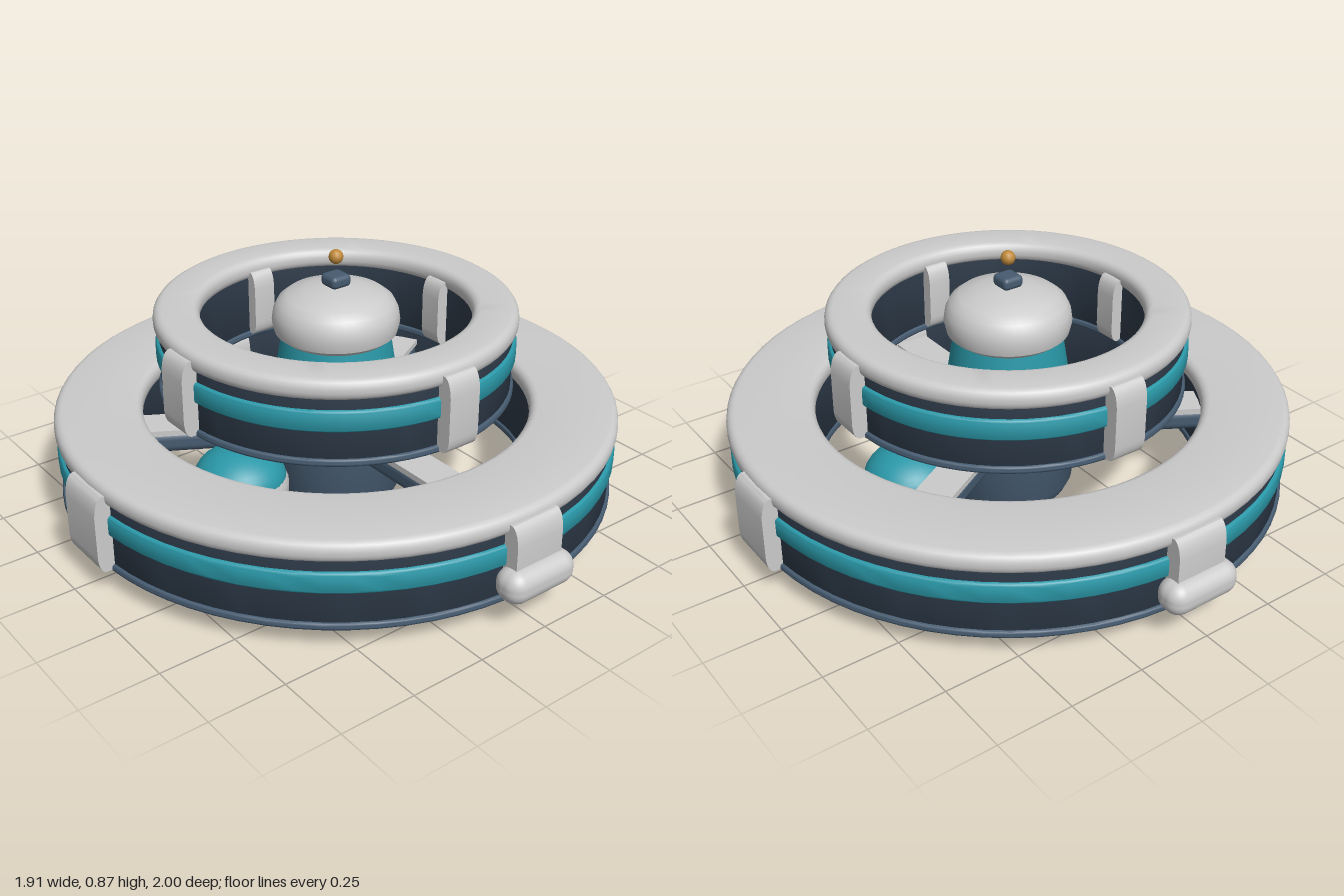
import * as THREE from 'three';
import { toCreasedNormals } from 'three/addons/utils/BufferGeometryUtils.js';
import { RoundedBoxGeometry } from 'three/addons/geometries/RoundedBoxGeometry.js';

const mat = (color) => new THREE.MeshStandardMaterial({ color });

export function createModel() {
  const grey = mat(0xcccccc), teal = mat(0x2a98a8), dark = mat(0x2f3c4b);
  const slate = mat(0x465b70), gold = mat(0xc08a3a);
  const model = new THREE.Group();

  function add(parent, name, geometry, material, x = 0, y = 0, z = 0) {
    const mesh = new THREE.Mesh(geometry, material);
    mesh.name = name;
    mesh.position.set(x, y, z);
    parent.add(mesh);
    return mesh;
  }

  // Revolved profile, listed bottom to top along the outside
  function lathe(points, segments = 72) {
    const profile = points.map(([r, y]) => new THREE.Vector2(r, y));
    return toCreasedNormals(new THREE.LatheGeometry(profile, segments), 0.65);
  }

  // Closed ring with rounded corners between two radii and two heights
  function ringGeometry(inner, outer, y0, y1, round) {
    const points = [];
    const corners = [
      [inner + round, y0 + round, Math.PI], [outer - round, y0 + round, 1.5 * Math.PI],
      [outer - round, y1 - round, 0], [inner + round, y1 - round, 0.5 * Math.PI],
    ];
    for (const [r, y, start] of corners) {
      for (let i = 0; i <= 4; i++) {
        const a = start + i * Math.PI / 8;
        points.push([r + round * Math.cos(a), y + round * Math.sin(a)]);
      }
    }
    points.push(points[0]);
    return lathe(points);
  }

  // Bowed clamp plate; thickness runs along +z from the ring wall
  function clampGeometry(width, height, depth) {
    const h = height / 2;
    const s = new THREE.Shape();
    s.moveTo(-0.03, -h);
    s.lineTo(depth * 0.35, -h);
    s.quadraticCurveTo(depth * 0.9, -h * 0.95, depth, -h * 0.6);
    s.lineTo(depth, h * 0.5);
    s.quadraticCurveTo(depth * 0.9, h * 0.92, depth * 0.3, h);
    s.lineTo(-0.03, h);
    s.closePath();
    const g = new THREE.ExtrudeGeometry(s, { depth: width, bevelEnabled: false, curveSegments: 5 });
    g.translate(0, 0, -width / 2);
    g.rotateY(-Math.PI / 2);
    return toCreasedNormals(g, 0.6);
  }

  // One habitat ring: stacked layers and four pairs of clamps
  function habitatRing(name, inner, outer, y, height, outerWidth, innerWidth) {
    const ring = new THREE.Group();
    ring.name = name;
    ring.position.y = y;
    model.add(ring);
    const top = height;
    add(ring, 'ringBasePlate', ringGeometry(inner, outer - 0.002, 0, 0.026, 0.011), slate);
    add(ring, 'ringHull', ringGeometry(inner + 0.008, outer - 0.012, 0.012, top - 0.03, 0.008), dark);
    add(ring, 'ringBand', ringGeometry(outer - 0.06, outer, top - 0.17, top - 0.098, 0.014), teal);
    add(ring, 'ringCap', ringGeometry(inner - 0.002, outer + 0.004, top - 0.068, top, 0.028), grey);
    for (let i = 0; i < 4; i++) {
      const arm = new THREE.Group();
      arm.name = 'clampPair';
      arm.rotation.y = i * Math.PI / 2;
      ring.add(arm);
      const middle = height * 0.47;
      add(arm, 'outerClamp', clampGeometry(outerWidth, height * 0.88, 0.037), grey, 0, middle, outer);
      add(arm, 'innerClamp', clampGeometry(innerWidth, height * 0.8, 0.034), grey, 0, middle, inner)
        .rotation.y = Math.PI;
    }
    return ring;
  }
  habitatRing('lowerRing', 0.64, 0.92, 0.075, 0.295, 0.18, 0.13);
  habitatRing('upperRing', 0.44, 0.583, 0.408, 0.285, 0.115, 0.08);

  // Docking bumpers at front and back of the lower ring
  for (const side of [1, -1]) {
    add(model, 'dockingBumper', new RoundedBoxGeometry(0.26, 0.108, 0.11, 4, 0.048), grey, 0, 0.153, side * 0.945);
  }

  // Central hub
  add(model, 'hubBody', lathe([[0, 0], [0.17, 0], [0.2, 0.012], [0.218, 0.05], [0.22, 0.31], [0, 0.31]], 48), slate);
  add(model, 'hubCollar', toCreasedNormals(new THREE.CylinderGeometry(0.24, 0.24, 0.055, 12), 0.3), grey, 0, 0.332, 0)
    .rotation.y = Math.PI / 12;
  add(model, 'hubColumn', lathe([[0, 0.35], [0.205, 0.35], [0.203, 0.42], [0.175, 0.6], [0, 0.6]], 48), teal);
  add(model, 'hubDome', lathe([
    [0, 0.575], [0.175, 0.575], [0.2, 0.595], [0.208, 0.63], [0.203, 0.665],
    [0.188, 0.695], [0.16, 0.717], [0.1, 0.735], [0.04, 0.744], [0, 0.745],
  ], 48), grey);
  add(model, 'beaconBase', new RoundedBoxGeometry(0.075, 0.042, 0.075, 3, 0.016), slate, 0, 0.764, 0);
  add(model, 'beacon', new THREE.SphereGeometry(0.024, 12, 8), gold, 0, 0.842, 0);

  // Three spokes from hub to lower ring: dark beam under a light deck
  for (let i = 0; i < 3; i++) {
    const spoke = new THREE.Group();
    spoke.name = 'spoke';
    spoke.rotation.y = i * Math.PI * 2 / 3;
    model.add(spoke);
    add(spoke, 'spokeBeam', new RoundedBoxGeometry(0.11, 0.08, 0.48, 3, 0.03), slate, 0, 0.235, 0.43);
    add(spoke, 'spokeDeck', new THREE.BoxGeometry(0.12, 0.02, 0.46), grey, 0, 0.275, 0.43);
  }

  // Two domed pods beside the hub
  for (const side of [1, -1]) {
    const pod = new THREE.Group();
    pod.name = 'pod';
    pod.position.set(side * 0.39, 0, 0);
    model.add(pod);
    add(pod, 'podBody', lathe([
      [0, 0.085], [0.125, 0.085], [0.147, 0.093], [0.157, 0.115], [0.157, 0.165], [0.148, 0.185], [0, 0.185],
    ], 40), grey);
    const dome = new THREE.SphereGeometry(0.15, 32, 10, 0, Math.PI * 2, 0, Math.PI / 2);
    add(pod, 'podDome', dome, teal, 0, 0.175, 0).scale.y = 0.7;
    add(pod, 'podPort', new THREE.CylinderGeometry(0.024, 0.024, 0.01, 16), teal, 0, 0.085, 0);
  }
  return model;
}
